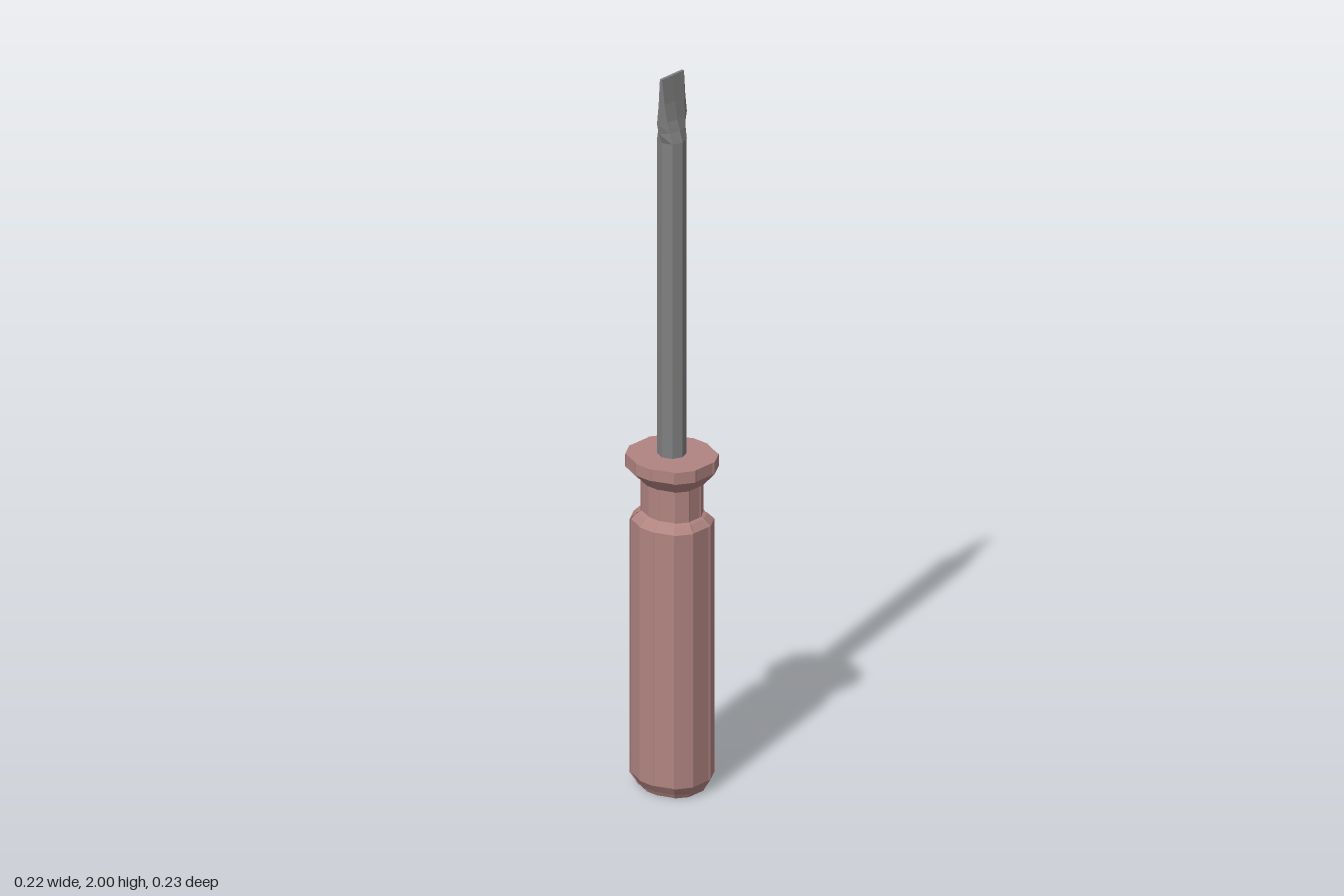
import * as THREE from 'three';

// Skin a stack of cross-sections (each an array of Vector3 running from +x towards +z) and cap both ends
function loft(rings) {
  const points = [];
  const n = rings[0].length;
  for (let i = 0; i < rings.length - 1; i++) {
    for (let j = 0; j < n; j++) {
      const k = (j + 1) % n;
      const a = rings[i][j], b = rings[i][k], c = rings[i + 1][k], d = rings[i + 1][j];
      points.push(a, c, b, a, d, c);
    }
  }
  const cap = (ring, up) => {
    const centre = ring.reduce((s, p) => s.add(p), new THREE.Vector3()).divideScalar(n);
    for (let j = 0; j < n; j++) {
      const p = ring[j], q = ring[(j + 1) % n];
      points.push(centre, up ? q : p, up ? p : q);
    }
  };
  cap(rings[0], false);
  cap(rings[rings.length - 1], true);
  const geometry = new THREE.BufferGeometry().setFromPoints(points);
  geometry.computeVertexNormals();
  return geometry;
}

// Mirror one quarter of an outline into the full loop
function mirrorQuarter(quarter) {
  const half = [...quarter, ...quarter.slice().reverse().map(([x, z]) => [-x, z])];
  return [...half, ...half.slice().reverse().map(([x, z]) => [x, -z])];
}

export function createModel() {
  const group = new THREE.Group();
  group.name = 'screwdriver';
  const plastic = new THREE.MeshStandardMaterial({ color: 0xb08481, flatShading: true });
  const steel = new THREE.MeshStandardMaterial({ color: 0x808080, flatShading: true });
  const add = (name, geometry, material) => {
    const mesh = new THREE.Mesh(geometry, material);
    mesh.name = name;
    group.add(mesh);
    return mesh;
  };

  // Grip outline: six slightly raised facets with plain facets between them
  const outline = mirrorQuarter([
    [0.108, 0.026], [0.105, 0.029], [0.081, 0.085],
    [0.085, 0.086], [0.036, 0.116], [0.03, 0.114],
  ]);
  const gripRings = (profile) => profile.map(([y, hx, hz]) =>
    outline.map(([x, z]) => new THREE.Vector3(x * hx / 0.108, y, z * hz / 0.116)));

  // Handle: chamfered butt, long grip, narrow neck and flared collar (y, half width, half depth)
  add('handle', loft(gripRings([
    [0, 0.075, 0.086], [0.012, 0.081, 0.092], [0.035, 0.096, 0.105],
    [0.75, 0.096, 0.105], [0.768, 0.078, 0.088], [0.772, 0.068, 0.081],
    [0.865, 0.068, 0.081],
  ])), plastic);
  add('collar', loft(gripRings([
    [0.862, 0.074, 0.085], [0.9, 0.108, 0.116], [0.933, 0.108, 0.116],
  ])), plastic);

  // Shaft: eight-sided rod
  const shaft = add('shaft', new THREE.CylinderGeometry(0.038, 0.038, 0.92, 8), steel);
  shaft.position.set(0.004, 1.36, -0.004);

  // Blade: round rod flaring into a lens section, then a thin flat tip
  // (y, half width, shoulder x, shoulder z, half thickness)
  const blade = [
    [1.82, 0.038, 0.027, 0.027, 0.038],
    [1.85, 0.05, 0.029, 0.021, 0.028],
    [1.88, 0.056, 0.033, 0.015, 0.019],
    [1.93, 0.05, 0.037, 0.009, 0.011],
    [2.0, 0.041, 0.041, 0.004, 0.004],
  ].map(([y, w, sx, sz, t]) => [
    [w, 0], [sx, sz], [0, t], [-sx, sz], [-w, 0], [-sx, -sz], [0, -t], [sx, -sz],
  ].map(([x, z]) => new THREE.Vector3(x, y, z)));
  add('blade', loft(blade), steel).position.set(0.004, 0, -0.004);

  return group;
}
